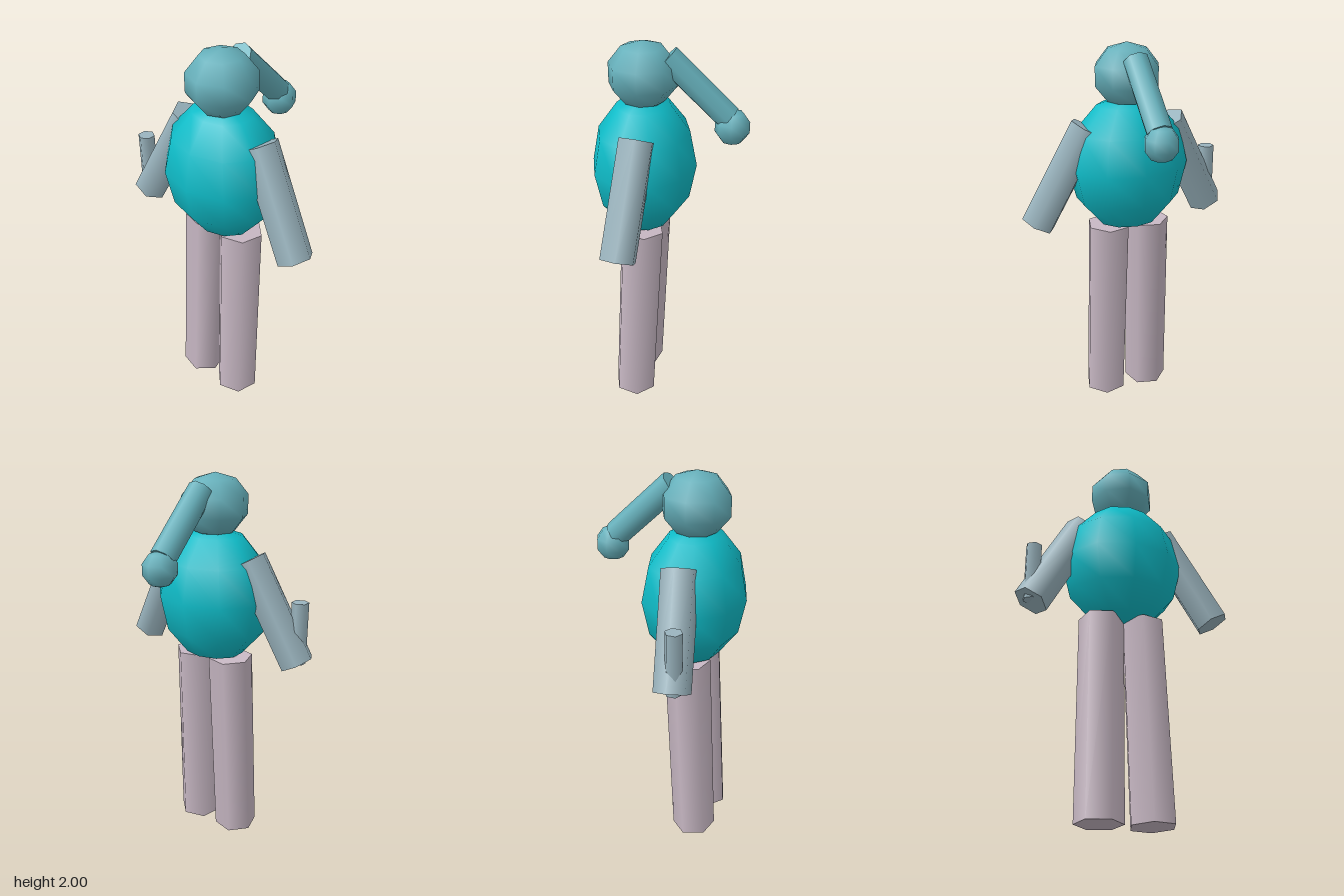
import * as THREE from 'three';

const mat = (name, color) => {
  const m = new THREE.MeshStandardMaterial({ color });
  m.name = name;
  return m;
};

export function createModel() {
  const group = new THREE.Group();
  const teal = mat('teal', 0x0fbcc8);
  const softTeal = mat('soft teal', 0x66b0bb);
  const greyBlue = mat('grey blue', 0x9ab4be);
  const mauve = mat('mauve', 0xc8b8c4);

  const add = (name, geometry, material) => {
    const mesh = new THREE.Mesh(geometry, material);
    mesh.name = name;
    group.add(mesh);
    return mesh;
  };

  // Low-sided ellipsoid with a column of vertices facing forward
  const ball = (name, material, centre, size, sides, rows) => {
    const g = new THREE.SphereGeometry(1, sides, rows);
    g.rotateY(Math.PI / 2);
    g.scale(...size);
    add(name, g, material).position.set(...centre);
  };

  // Prism from a to b, with one of its corners turned toward the given direction
  const limb = (name, material, a, b, radius, sides, corner) => {
    const start = new THREE.Vector3(...a), end = new THREE.Vector3(...b);
    const axis = end.clone().sub(start);
    const length = axis.length();
    axis.normalize();
    const z = new THREE.Vector3(...corner);
    z.addScaledVector(axis, -z.dot(axis)).normalize();
    const x = axis.clone().cross(z);
    const mesh = add(name, new THREE.CylinderGeometry(radius, radius, length, sides), material);
    mesh.quaternion.setFromRotationMatrix(new THREE.Matrix4().makeBasis(x, axis, z));
    mesh.position.copy(start).add(end).multiplyScalar(0.5);
  };

  // Body and head
  ball('torso', teal, [0, 1.38, 0.125], [0.32, 0.36, 0.265], 10, 6);
  ball('head', softTeal, [0, 1.84, 0.125], [0.178, 0.16, 0.178], 8, 5);

  // Ponytail with a round tip
  limb('ponytail', softTeal, [0, 1.926, 0.008], [0, 1.645, -0.288], 0.065, 8, [1, 0, 0]);
  ball('ponytailTip', softTeal, [0, 1.598, -0.308], [0.089, 0.089, 0.089], 8, 5);

  // Arms and legs
  for (const [side, s] of [['left', 1], ['right', -1]]) {
    limb(side + 'Arm', greyBlue, [s * 0.22, 1.593, 0.118], [s * 0.487, 1.09, 0.17], 0.092, 6, [s, 0, 0]);
    limb(side + 'Leg', mauve, [s * 0.11, 1.055, 0.125], [s * 0.127, 0.007, 0.18], 0.1165, 6, [s, 0, 1]);
  }

  // Upright thumb on the right hand
  limb('rightThumb', greyBlue, [-0.485, 1.09, 0.176], [-0.485, 1.408, 0.176], 0.043, 6, [0, 0, 1]);

  return group;
}
